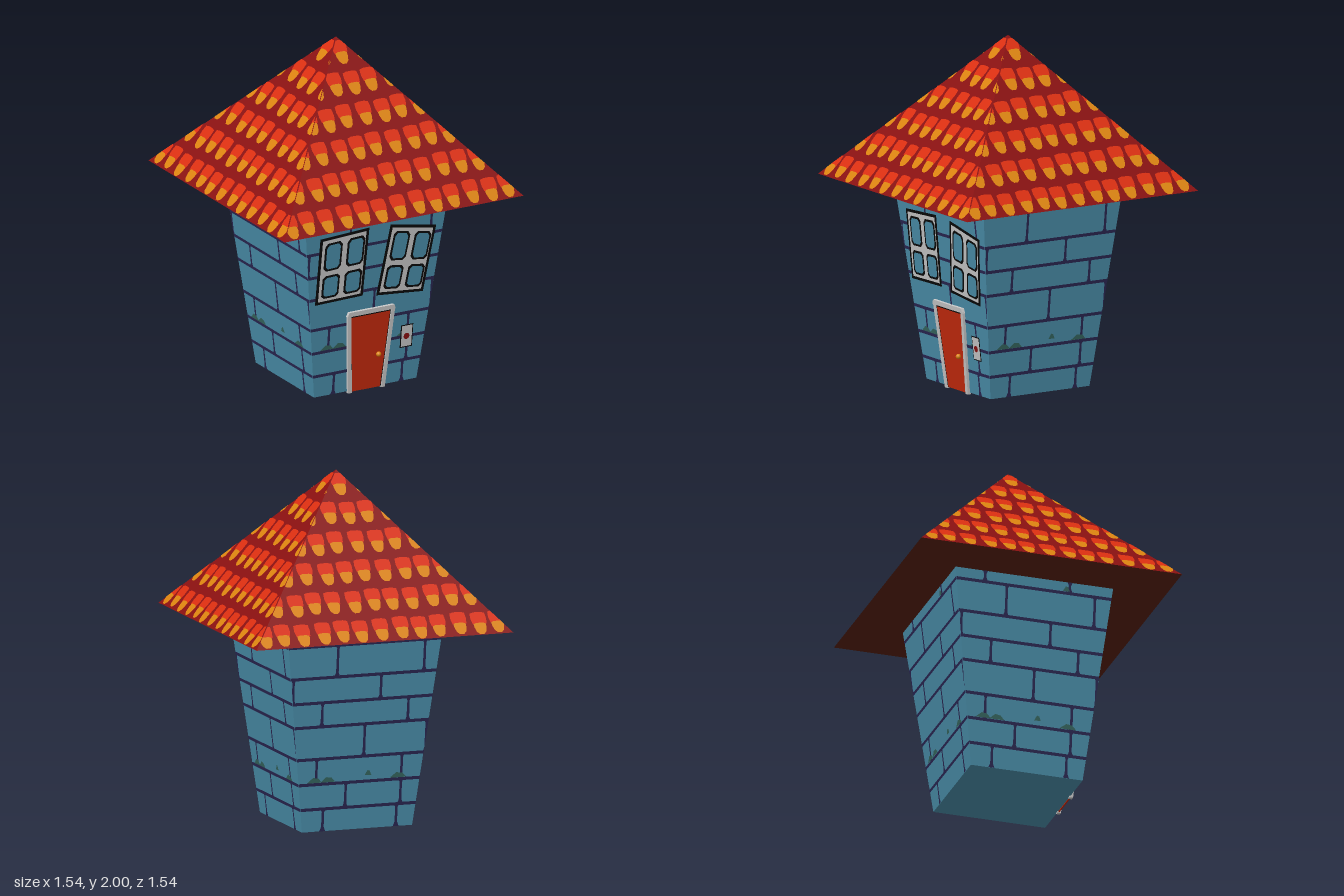
import * as THREE from 'three';
import { mergeGeometries } from 'three/addons/utils/BufferGeometryUtils.js';

const mat = (name, color) => Object.assign(new THREE.MeshStandardMaterial({ color }), { name });

// Half width of the square house and of the roof at height y
const wallHalf = y => 0.33 + 0.135 * (y - 0.01) / 1.145;
const roofHalf = y => 0.77 * (2 - y) / 0.845;

// Keep the part of a polygon with side * x <= half(y)
function clipSide(pts, half, side) {
  const out = [];
  const d = p => half(p[1]) - side * p[0];
  pts.forEach((a, i) => {
    const b = pts[(i + 1) % pts.length], da = d(a), db = d(b);
    if (da >= 0) out.push(a);
    if (da * db < 0) {
      const t = da / (da - db);
      out.push([a[0] + (b[0] - a[0]) * t, a[1] + (b[1] - a[1]) * t]);
    }
  });
  return out;
}

// Polygon laid on the sloping front face; depth > 0 makes it solid
function plate(pts, half, off, depth = 0) {
  const p = clipSide(clipSide(pts, half, 1), half, -1);
  if (p.length < 3) return null;
  const shape = new THREE.Shape(p.map(q => new THREE.Vector2(q[0], q[1])));
  const g = depth
    ? new THREE.ExtrudeGeometry(shape, { depth, bevelEnabled: false })
    : new THREE.ShapeGeometry(shape);
  const pos = g.attributes.position;
  for (let i = 0; i < pos.count; i++) pos.setZ(i, pos.getZ(i) + half(pos.getY(i)) + off);
  g.computeVertexNormals();
  return g;
}

const rect = (x0, y0, x1, y1) => [[x0, y0], [x1, y0], [x1, y1], [x0, y1]];

function flat(geo) {
  const g = geo.toNonIndexed();
  g.computeVertexNormals();
  return g;
}

export function createModel() {
  const house = new THREE.Group();
  house.name = 'house';
  const M = {
    wall: mat('wallBlue', 0x4a8fab), mortar: mat('mortarPurple', 0x2a2652),
    moss: mat('mossGreen', 0x35665f), roof: mat('roofDarkRed', 0x8a1010),
    tile: mat('tileRed', 0xdc2f10), tip: mat('tileOrange', 0xdc840f),
    under: mat('eavesBrown', 0x58200f), door: mat('doorRed', 0xc62a0c),
    pale: mat('framePale', 0xcacaca), black: mat('outlineBlack', 0x070707),
  };
  const add = (name, geo, material, parent = house) => {
    const m = new THREE.Mesh(geo, material);
    m.name = name;
    parent.add(m);
    return m;
  };
  const merge = list => mergeGeometries(list.filter(Boolean));

  // Tapered house body
  const s2 = Math.SQRT2;
  add('walls', flat(new THREE.CylinderGeometry(0.465 * s2, 0.33 * s2, 1.145, 4, 1, false, Math.PI / 4)), M.wall)
    .position.y = 0.5825;

  // Pyramid roof and its underside
  add('roof', flat(new THREE.ConeGeometry(0.77 * s2, 0.845, 4, 1, true, Math.PI / 4)), M.roof)
    .position.y = 1.5775;
  const under = add('roofUnderside', new THREE.PlaneGeometry(1.54, 1.54), M.under);
  under.rotation.x = Math.PI / 2;
  under.position.y = 1.155;

  // Mortar: horizontal courses, and the upright joints above each one
  const courses = [0.01, 0.14, 0.285, 0.432, 0.62, 0.76, 0.905, 1.09, 1.155];
  const joints = [[-0.21, 0.23], [-0.08, 0.25], [-0.26, 0.25], [0.02, 0.39],
    [-0.24, 0.275], [-0.42, 0.106], [-0.16, 0.36], [-0.29, 0.21]];
  const mortar = [];
  joints.forEach((row, i) => {
    const y0 = courses[i], y1 = courses[i + 1];
    if (i > 0) mortar.push(plate(rect(-1, y0 - 0.009, 1, y0 + 0.009), wallHalf, 0.002));
    for (const x of row) {
      mortar.push(plate([[x - 0.018, y0], [x + 0.018, y0], [x + 0.008, y0 + 0.025], [x + 0.007, y1 - 0.02],
        [x + 0.015, y1], [x - 0.015, y1], [x - 0.007, y1 - 0.02], [x - 0.008, y0 + 0.025]], wallHalf, 0.0025));
    }
  });

  // Small moss patches resting on the courses
  const moss = [[-0.27, 0.295, 0.045], [-0.19, 0.295, 0.045], [0.23, 0.295, 0.05], [0.05, 0.32, 0.02], [0.19, 1.1, 0.02]]
    .map(([x, y, w]) => plate([[x - w, y], [x + w, y], [x + w * 0.5, y + 0.025], [x - w * 0.2, y + 0.03]], wallHalf, 0.004));

  // Roof tiles: a red upper part with a rounded orange tip
  const reds = [], tips = [];
  for (let r = 0; r < 6; r++) {
    for (let c = -7; c <= 7; c++) {
      const x = c * 0.1165 + 0.006 * Math.sin(r * 2.3 + c * 1.7) - 0.003;
      const y = 1.162 + r * 0.1435 + 0.004 * Math.sin(c * 2.1 + r);
      const red = [[-0.041, 0.05], [-0.02, 0.056], [0.02, 0.056], [0.041, 0.05], [0.047, 0.075],
        [0.044, 0.103], [0.02, 0.108], [-0.02, 0.108], [-0.044, 0.103], [-0.047, 0.075]];
      const tip = [[-0.037, 0.06], [-0.036, 0.035], [-0.028, 0.012], [-0.012, 0],
        [0.012, 0], [0.028, 0.012], [0.036, 0.035], [0.037, 0.06]];
      const move = p => [p[0] + x, p[1] + y];
      reds.push(plate(red.map(move), roofHalf, 0.005));
      tips.push(plate(tip.map(move), roofHalf, 0.003));
    }
  }

  // The same brickwork and tiles on all four sides
  const mortarGeo = merge(mortar), mossGeo = merge(moss), redGeo = merge(reds), tipGeo = merge(tips);
  for (let k = 0; k < 4; k++) {
    const side = new THREE.Group();
    side.name = 'side' + (k + 1);
    side.rotation.y = k * Math.PI / 2;
    add('mortarLines', mortarGeo, M.mortar, side);
    add('mossPatches', mossGeo, M.moss, side);
    add('tileTops', redGeo, M.tile, side);
    add('tileTips', tipGeo, M.tip, side);
    house.add(side);
  }

  // Crooked windows: corners run from lower left, anticlockwise
  function crookedWindow(name, q) {
    const at = (u, v) => [0, 1].map(i =>
      (q[0][i] * (1 - u) + q[1][i] * u) * (1 - v) + (q[3][i] * (1 - u) + q[2][i] * u) * v);
    const quad = (u0, v0, u1, v1) => rect(u0, v0, u1, v1).map(p => at(...p));
    const pane = (u0, v0, u1, v1) => {
      const a = (u1 - u0) * 0.16, b = (v1 - v0) * 0.12;
      return [[u0 + a, v0], [u1 - a, v0], [u1, v0 + b], [u1, v1 - b],
        [u1 - a, v1], [u0 + a, v1], [u0, v1 - b], [u0, v0 + b]].map(p => at(...p));
    };
    const g = new THREE.Group();
    g.name = name;
    add('outline', plate(quad(0, 0, 1, 1), wallHalf, 0.0045), M.black, g);
    add('frame', plate(quad(0.055, 0.04, 0.945, 0.96), wallHalf, 0.006), M.pale, g);
    const rims = [], panes = [];
    for (const u of [0.11, 0.57]) for (const v of [0.08, 0.49]) {
      const w = u + 0.36, t = v + (v < 0.3 ? 0.34 : 0.42);
      rims.push(plate(pane(u, v, w, t), wallHalf, 0.0075));
      panes.push(plate(pane(u + 0.04, v + 0.03, w - 0.04, t - 0.03), wallHalf, 0.009));
    }
    add('paneRims', merge(rims), M.black, g);
    add('panes', merge(panes), M.wall, g);
    house.add(g);
  }
  crookedWindow('rightWindow', [[-0.365, 0.587], [-0.058, 0.593], [-0.042, 1.012], [-0.357, 0.995]]);
  crookedWindow('leftWindow', [[0.03, 0.577], [0.333, 0.548], [0.392, 0.947], [0.095, 1.005]]);

  // Door, tapered like the walls, with its frame
  const door = new THREE.Group();
  door.name = 'door';
  add('doorPanel', plate([[-0.1, 0.005], [0.1, 0.005], [0.137, 0.475], [-0.137, 0.475]], wallHalf, 0, 0.008), M.door, door);
  for (const s of [-1, 1]) {
    const post = [[0.118, 0], [0.153, 0.485], [0.13, 0.485], [0.094, 0]].map(p => [s * p[0], p[1]]);
    add(s < 0 ? 'rightPost' : 'leftPost', plate(post, wallHalf, -0.005, 0.021), M.pale, door);
    const edge = [[0.096, 0.005], [0.132, 0.475], [0.126, 0.475], [0.09, 0.005]].map(p => [s * p[0], p[1]]);
    add('doorEdge', plate(edge, wallHalf, 0.0095), M.black, door);
  }
  add('lintel', plate([[-0.155, 0.478], [0.155, 0.478], [0.145, 0.505], [-0.145, 0.505]], wallHalf, -0.005, 0.024), M.pale, door);
  add('lintelEdge', plate(rect(-0.13, 0.468, 0.13, 0.478), wallHalf, 0.01), M.black, door);
  add('doorKnob', new THREE.SphereGeometry(0.015, 12, 8), M.tip, door).position.set(0.063, 0.212, wallHalf(0.212) + 0.018);
  house.add(door);

  // Small wall plaque with a red button
  const plaque = new THREE.Group();
  plaque.name = 'plaque';
  add('plaqueOutline', plate(rect(0.205, 0.218, 0.284, 0.358), wallHalf, 0.005), M.black, plaque);
  add('plaqueFace', plate(rect(0.211, 0.224, 0.278, 0.352), wallHalf, 0.0065), M.pale, plaque);
  const dot = Array.from({ length: 10 }, (_, i) =>
    [0.243 + 0.019 * Math.cos(i * Math.PI / 5), 0.287 + 0.019 * Math.sin(i * Math.PI / 5)]);
  add('plaqueButton', plate(dot, wallHalf, 0.008), M.roof, plaque);
  house.add(plaque);

  return house;
}
